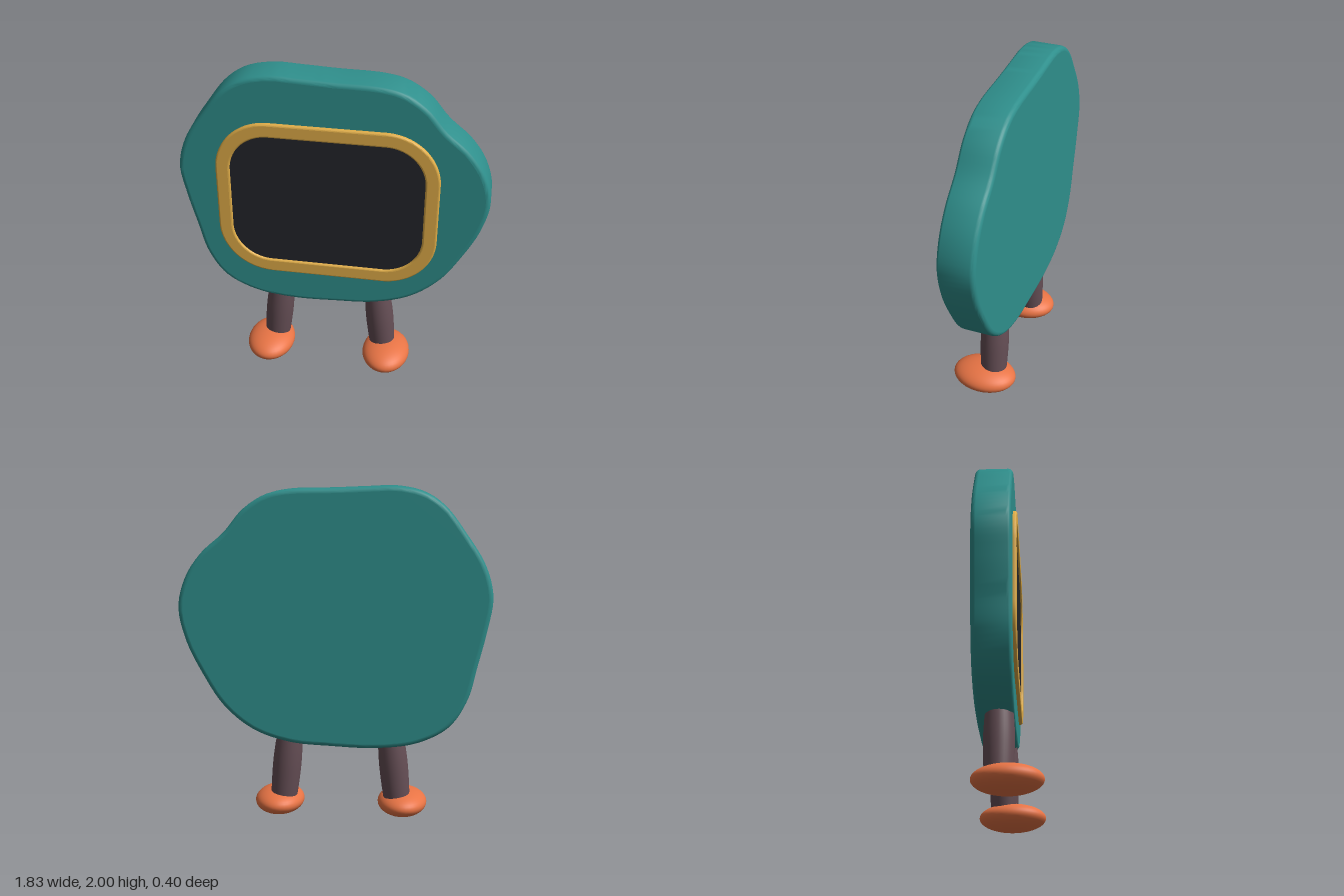
import * as THREE from 'three';
import { toCreasedNormals } from 'three/addons/utils/BufferGeometryUtils.js';

const paint = (color) => new THREE.MeshStandardMaterial({ color });
const TEAL = paint(0x2f8f8c), GOLD = paint(0xe0ad48), DARK = paint(0x23242a);
const PLUM = paint(0x654e55), ORANGE = paint(0xe87445);

function add(parent, name, geometry, material) {
  const mesh = new THREE.Mesh(geometry, material);
  mesh.name = name;
  parent.add(mesh);
  return mesh;
}

// Slab between two z levels with a rounded rim, flat caps and smooth sides
function slab(shape, zBack, zFront, bevel, curveSegments) {
  const g = new THREE.ExtrudeGeometry(shape, {
    depth: zFront - zBack - 2 * bevel, curveSegments,
    bevelThickness: bevel, bevelSize: bevel, bevelOffset: -bevel, bevelSegments: 5,
  });
  g.translate(0, 0, zBack + bevel);
  const result = toCreasedNormals(g, 0.6);
  const caps = g.groups[0];
  const { position, normal } = result.attributes;
  const middle = (zBack + zFront) / 2;
  for (let i = caps.start; i < caps.start + caps.count; i++) {
    normal.setXYZ(i, 0, 0, position.getZ(i) > middle ? 1 : -1);
  }
  return result;
}

// Rounded rectangle traced into a Shape or Path
function roundedRect(path, cx, cy, w, h, r) {
  const x = w / 2 - r, y = h / 2 - r;
  path.absarc(cx + x, cy + y, r, 0, Math.PI / 2);
  path.absarc(cx - x, cy + y, r, Math.PI / 2, Math.PI);
  path.absarc(cx - x, cy - y, r, Math.PI, Math.PI * 1.5);
  path.absarc(cx + x, cy - y, r, Math.PI * 1.5, Math.PI * 2);
  path.closePath();
  return path;
}

export function createModel() {
  const model = new THREE.Group();
  model.name = 'screenCreature';

  // Pebble-shaped body, outline counter-clockwise from the top
  const outline = [
    [0, 1.988], [-0.2, 1.996], [-0.36, 2.0], [-0.52, 1.965], [-0.64, 1.885], [-0.76, 1.73],
    [-0.872, 1.55], [-0.918, 1.37], [-0.89, 1.18], [-0.84, 0.97], [-0.785, 0.76],
    [-0.68, 0.595], [-0.495, 0.495], [-0.255, 0.46], [0.01, 0.467], [0.27, 0.49],
    [0.485, 0.565], [0.655, 0.705], [0.775, 0.89], [0.875, 1.1], [0.915, 1.3],
    [0.87, 1.475], [0.775, 1.615], [0.64, 1.735], [0.53, 1.865], [0.4, 1.95], [0.27, 1.98],
  ].map(([x, y]) => new THREE.Vector3(x, y, 0));
  const curve = new THREE.CatmullRomCurve3(outline, true, 'centripetal');
  const points = curve.getSpacedPoints(140).slice(0, -1);
  const bodyShape = new THREE.Shape(points.map((p) => new THREE.Vector2(p.x, p.y)));
  add(model, 'body', slab(bodyShape, -0.18, 0.038, 0.028, 1), TEAL);

  // Screen frame with its opening, and the dark screen inside it
  const cx = -0.033, cy = 1.197;
  const frame = roundedRect(new THREE.Shape(), cx, cy, 1.316, 1.03, 0.32);
  frame.holes.push(roundedRect(new THREE.Path(), cx, cy, 1.145, 0.855, 0.235));
  add(model, 'screenFrame', slab(frame, 0.01, 0.06, 0.012, 16), GOLD);
  const screen = roundedRect(new THREE.Shape(), cx, cy, 1.16, 0.87, 0.24);
  add(model, 'screen', new THREE.ShapeGeometry(screen, 16), DARK).position.z = 0.047;

  // Legs: slightly bulging, splayed outwards; feet: flattened ellipsoids
  const profile = new THREE.SplineCurve([
    [0.078, -0.23], [0.084, -0.12], [0.087, 0], [0.084, 0.1], [0.077, 0.19], [0.07, 0.25],
  ].map(([r, y]) => new THREE.Vector2(r, y))).getPoints(20);
  const limbs = [
    { side: 'right', legX: -0.356, footX: -0.41, tilt: -0.1 },
    { side: 'left', legX: 0.294, footX: 0.345, tilt: 0.1 },
  ];
  for (const { side, legX, footX, tilt } of limbs) {
    const leg = add(model, side + 'Leg', new THREE.LatheGeometry(profile, 32), PLUM);
    leg.position.set(legX, 0.32, -0.048);
    leg.rotation.z = tilt;
    leg.material.side = THREE.DoubleSide;
    const foot = add(model, side + 'Foot', new THREE.SphereGeometry(1, 40, 24), ORANGE);
    foot.scale.set(0.15, 0.08, 0.198);
    foot.position.set(footX, 0.08, 0);
  }
  return model;
}
